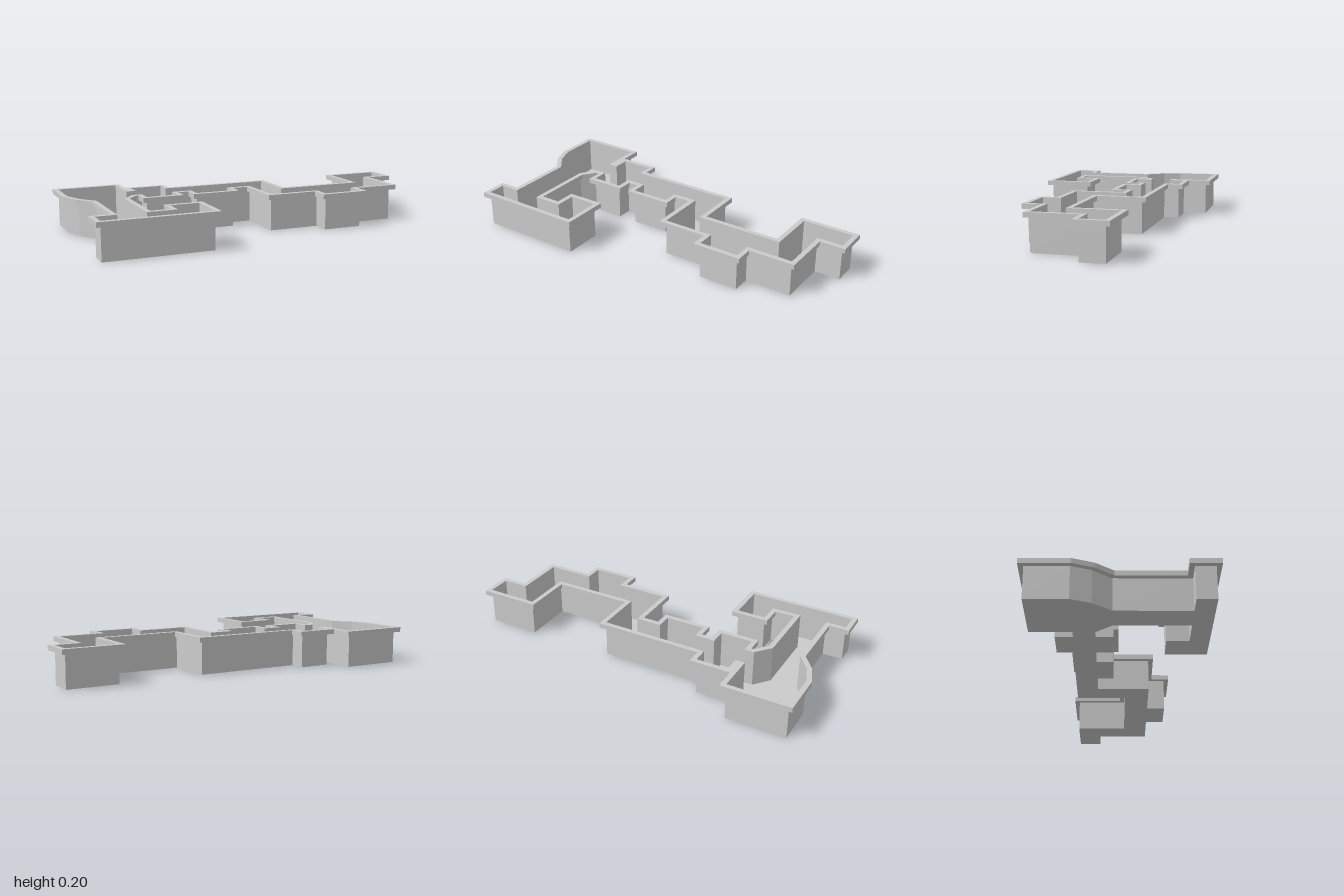
import * as THREE from 'three';

// Floor plan of the walls as [x, z], clockwise seen from above
const PLAN = [
  [-0.973, -0.455], [-0.64, -0.455], [-0.64, -0.235], [-0.586, -0.235],
  [-0.586, -0.327], [-0.41, -0.327], [-0.41, -0.24], [0.193, -0.24],
  [0.193, 0.031], [0.685, 0.031], [0.685, -0.252], [0.973, -0.252],
  [0.973, -0.122], [0.829, -0.122], [0.829, 0.166], [0.571, 0.166],
  [0.571, 0.268], [0.35, 0.268], [0.35, 0.166], [0.064, 0.166],
  [0.064, -0.122], [-0.079, -0.122], [-0.079, -0.032], [-0.297, -0.032],
  [-0.297, -0.122], [-0.41, -0.122], [-0.41, -0.032], [-0.586, -0.032],
  [-0.586, -0.122], [-0.64, -0.122], [-0.71, -0.036], [-0.71, 0.353],
  [-0.545, 0.353], [-0.545, 0.235], [-0.385, 0.235], [-0.385, 0.455],
  [-0.973, 0.455], [-0.973, 0.353], [-0.861, 0.353], [-0.861, -0.036],
  [-0.935, -0.132], [-0.973, -0.235],
];
const RIM_WIDTH = 0.027, RIM_BOTTOM = 0.178, TOP = 0.205;

// Outward mitre direction at each corner of the plan
function mitres(plan) {
  const n = plan.length;
  const normals = plan.map(([x, z], i) => {
    const [x2, z2] = plan[(i + 1) % n];
    return new THREE.Vector2(z2 - z, x - x2).normalize();
  });
  return normals.map((b, i) => {
    const a = normals[(i + n - 1) % n];
    return a.clone().add(b).divideScalar(1 + a.dot(b));
  });
}

// Sweep a profile of [outward, up] points around the plan with mitred corners
function sweep(plan, profile) {
  const dirs = mitres(plan), positions = [];
  const at = (i, [out, y]) => [plan[i][0] + dirs[i].x * out, y, plan[i][1] + dirs[i].y * out];
  for (let i = 0; i < plan.length; i++) {
    const j = (i + 1) % plan.length;
    for (let k = 0; k < profile.length - 1; k++) {
      const a = at(i, profile[k]), b = at(j, profile[k]);
      const c = at(j, profile[k + 1]), d = at(i, profile[k + 1]);
      positions.push(...a, ...b, ...c, ...a, ...c, ...d);
    }
  }
  const geometry = new THREE.BufferGeometry();
  geometry.setAttribute('position', new THREE.Float32BufferAttribute(positions, 3));
  geometry.computeVertexNormals();
  return geometry;
}

export function createModel() {
  const group = new THREE.Group();
  group.name = 'roomShell';
  const material = new THREE.MeshStandardMaterial({
    color: 0xcccccc, flatShading: true, side: THREE.DoubleSide,
  });
  const add = (name, geometry) => {
    const mesh = new THREE.Mesh(geometry, material);
    mesh.name = name;
    group.add(mesh);
  };

  // Flat floor filling the plan
  const shape = new THREE.Shape(PLAN.map(([x, z]) => new THREE.Vector2(x, -z)));
  add('floor', new THREE.ShapeGeometry(shape).rotateX(-Math.PI / 2));

  // Thin upright walls
  add('walls', sweep(PLAN, [[0, RIM_BOTTOM], [0, 0]]));

  // Projecting rim along the top of the walls
  add('rim', sweep(PLAN, [
    [0, TOP], [RIM_WIDTH, TOP], [RIM_WIDTH, RIM_BOTTOM], [0, RIM_BOTTOM], [0, TOP],
  ]));
  return group;
}
